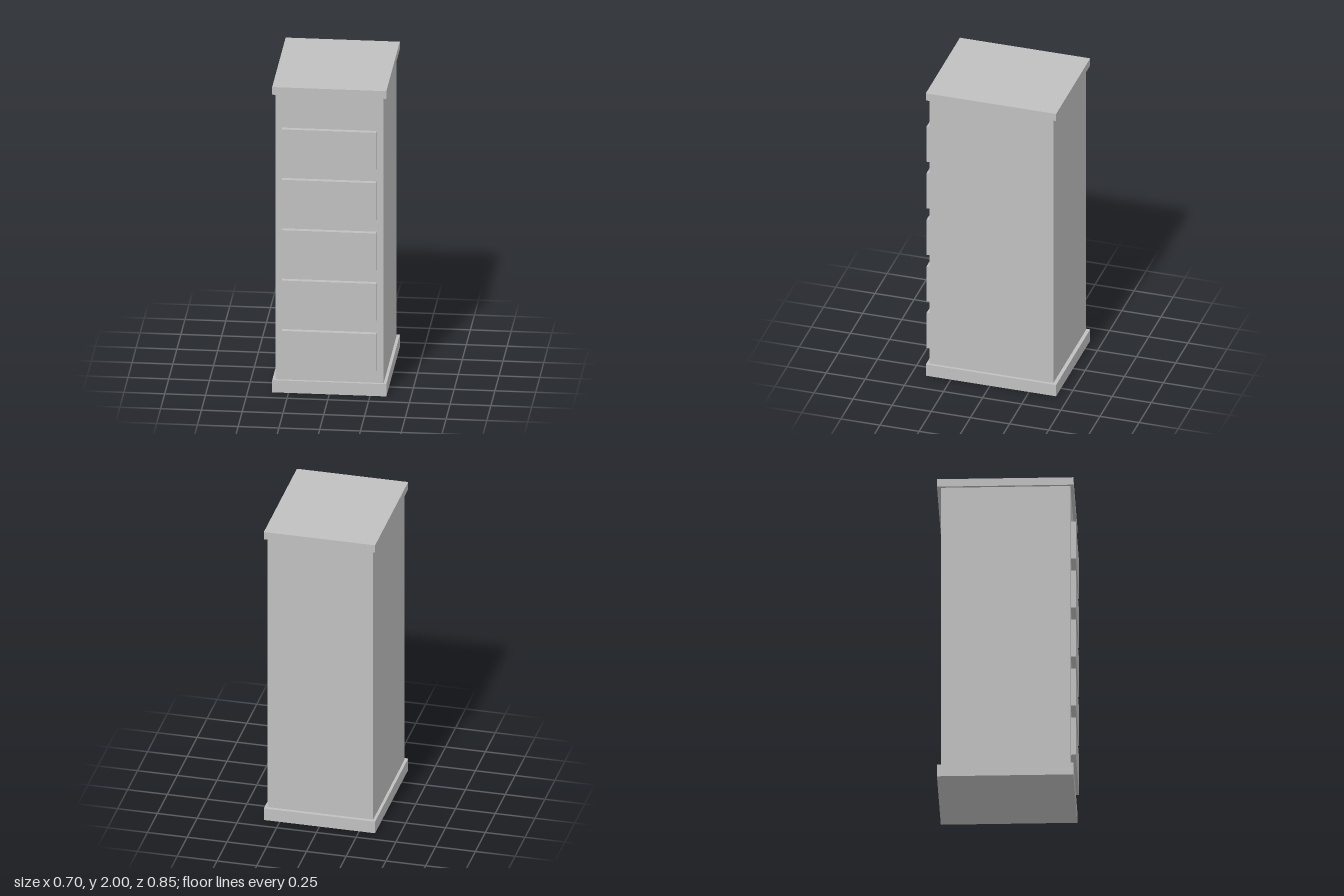
import * as THREE from 'three';

export function createModel() {
  const cabinet = new THREE.Group();
  cabinet.name = 'drawerCabinet';

  const grey = new THREE.MeshStandardMaterial({ color: 0xc0c0c0 });
  grey.name = 'light grey';

  // Box given by its width, its bottom and top, and its back and front
  const addBox = (name, width, y0, y1, z0, z1) => {
    const mesh = new THREE.Mesh(new THREE.BoxGeometry(width, y1 - y0, z1 - z0), grey);
    mesh.position.set(0, (y0 + y1) / 2, (z0 + z1) / 2);
    mesh.name = name;
    cabinet.add(mesh);
  };

  // Carcass between plinth and overhanging top
  addBox('plinth', 0.7, 0, 0.08, -0.423, 0.41);
  addBox('body', 0.664, 0.08, 1.95, -0.4, 0.392);
  addBox('topBoard', 0.7, 1.95, 2, -0.423, 0.41);

  // Five evenly spaced drawer fronts
  for (let i = 0; i < 5; i++) {
    const bottom = 0.16 + i * 0.33;
    addBox(`drawerFront${i + 1}`, 0.58, bottom, bottom + 0.25, 0.392, 0.423);
  }

  return cabinet;
}
